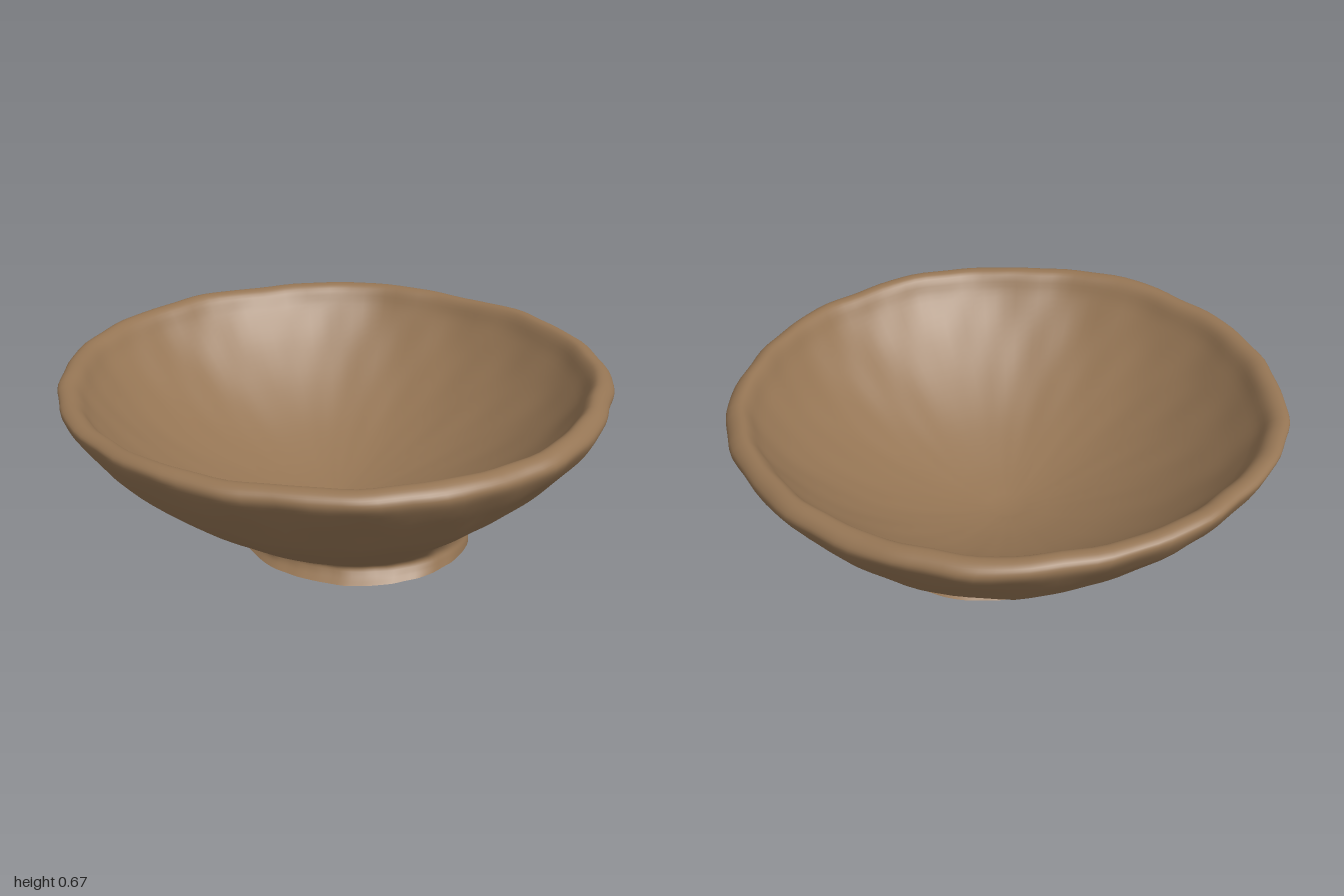
import * as THREE from 'three';

const SEGMENTS = 120;
const STEPS = 80;

// Cross-sections from foot to rim and down the inside: [height, reach +x, reach -x, reach z]
const OUTER_AND_INNER = [
  [0.0, 0.495, 0.34, 0.385],
  [0.025, 0.495, 0.33, 0.355],
  [0.055, 0.49, 0.355, 0.345],
  [0.095, 0.49, 0.41, 0.41],
  [0.15, 0.525, 0.48, 0.50],
  [0.24, 0.64, 0.60, 0.63],
  [0.36, 0.78, 0.745, 0.78],
  [0.48, 0.89, 0.87, 0.89],
  [0.56, 0.95, 0.93, 0.955],
  [0.62, 0.978, 0.965, 0.993],
  [0.653, 0.963, 0.978, 0.985],
  [0.667, 0.93, 0.95, 0.95],
  [0.65, 0.90, 0.91, 0.915],
  [0.58, 0.855, 0.86, 0.87],
  [0.47, 0.755, 0.755, 0.765],
  [0.35, 0.60, 0.60, 0.61],
  [0.25, 0.42, 0.42, 0.43],
  [0.175, 0.22, 0.22, 0.22],
  [0.14, 0.05, 0.05, 0.05],
];

// Gentle hand-made unevenness, as a fraction of the radius
function wobble(a, y) {
  return 0.006 * Math.sin(5 * a + 1.2 + 3 * y) + 0.004 * Math.sin(9 * a + 0.5 - 6 * y)
    + 0.003 * Math.sin(17 * a + 14 * y) + 0.002 * Math.sin(29 * a - 19 * y);
}

// Wavy height of the lip
function lipWave(a, y) {
  const k = Math.max(0, (y - 0.45) / 0.22);
  return k * (0.003 * Math.sin(3 * a + 2) + 0.003 * Math.sin(7 * a) + 0.002 * Math.sin(13 * a));
}

// Rings of points around the smoothed profile
function makeRings() {
  const sideCurve = new THREE.SplineCurve(OUTER_AND_INNER.map((s) => new THREE.Vector2(s[0], s[1])));
  const depthCurve = new THREE.SplineCurve(OUTER_AND_INNER.map((s) => new THREE.Vector2(s[2], s[3])));
  const rings = [];
  for (let i = 0; i <= STEPS; i++) {
    const s = sideCurve.getPoint(i / STEPS);
    const d = depthCurve.getPoint(i / STEPS);
    const centre = (s.y - d.x) / 2;
    const half = (s.y + d.x) / 2;
    const ring = [];
    for (let j = 0; j < SEGMENTS; j++) {
      const a = (j / SEGMENTS) * Math.PI * 2;
      const w = 1 + wobble(a, s.x);
      const y = i === 0 ? 0 : s.x + lipWave(a, s.x);
      ring.push(new THREE.Vector3(centre + half * w * Math.cos(a), y, d.y * w * Math.sin(a)));
    }
    rings.push(ring);
  }
  return rings;
}

// Skin the rings and close the last one with a centre point
function skin(rings, centre) {
  const points = [...rings.flat(), centre];
  const index = [];
  const last = rings.length - 1;
  for (let j = 0; j < SEGMENTS; j++) {
    const k = (j + 1) % SEGMENTS;
    for (let i = 0; i < last; i++) {
      const a = i * SEGMENTS + j;
      const b = i * SEGMENTS + k;
      index.push(a, a + SEGMENTS, b, b, a + SEGMENTS, b + SEGMENTS);
    }
    index.push(last * SEGMENTS + j, points.length - 1, last * SEGMENTS + k);
  }
  const geometry = new THREE.BufferGeometry().setFromPoints(points);
  geometry.setIndex(index);
  geometry.computeVertexNormals();
  return geometry;
}

export function createModel() {
  const group = new THREE.Group();
  group.name = 'bowl';
  const clay = new THREE.MeshStandardMaterial({ color: 0x957554 });
  clay.name = 'brown clay';

  const rings = makeRings();

  // Foot, wall, lip and inside in one smooth skin
  const body = new THREE.Mesh(skin(rings, new THREE.Vector3(0, 0.138, 0)), clay);
  body.name = 'bowlBody';
  group.add(body);

  // Flat underside of the foot, kept separate for a sharp edge
  const underside = new THREE.Mesh(skin([[...rings[0]].reverse()], new THREE.Vector3(0.08, 0, 0)), clay);
  underside.name = 'footUnderside';
  group.add(underside);

  return group;
}
